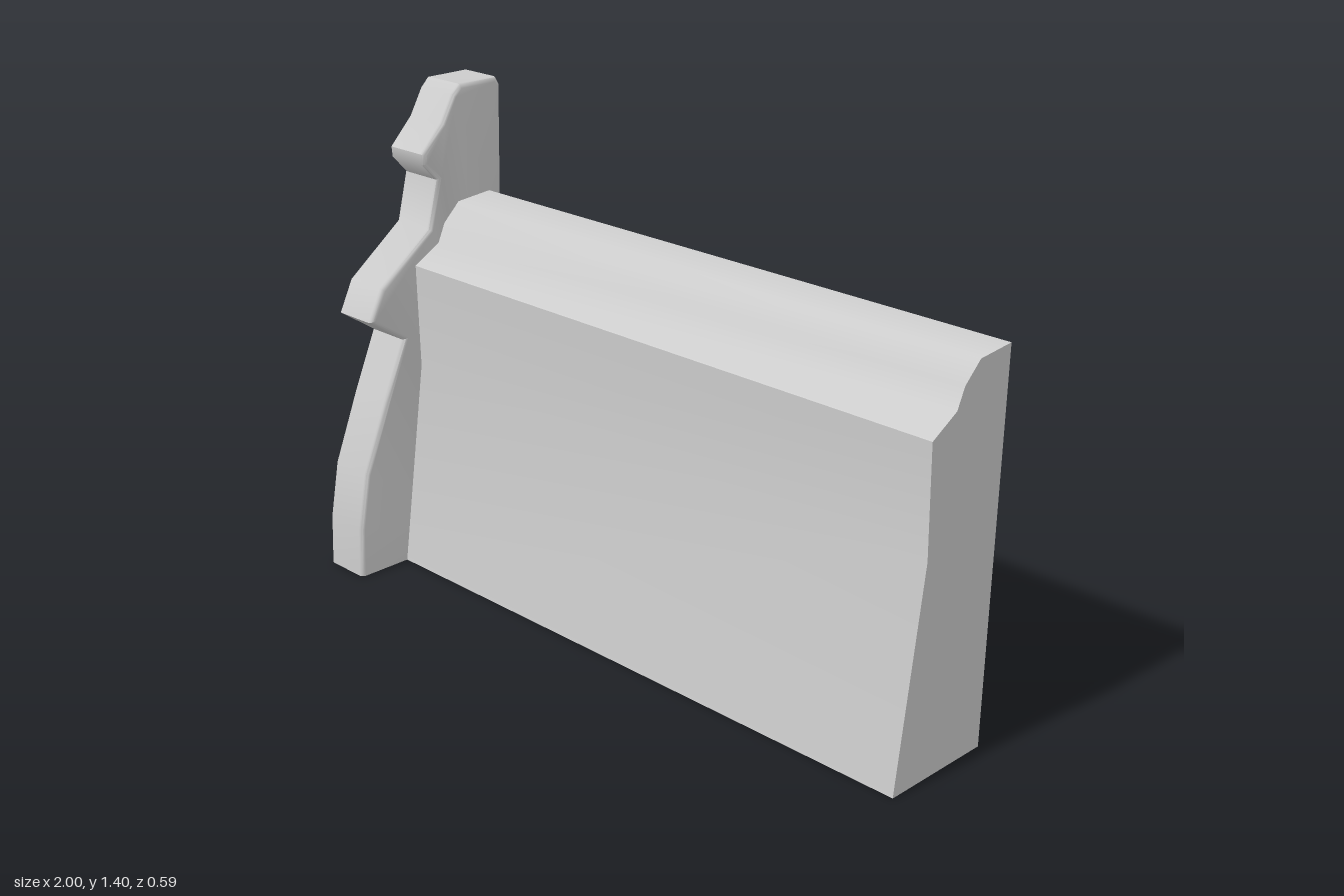
import * as THREE from 'three';
import { toCreasedNormals } from 'three/addons/utils/BufferGeometryUtils.js';

const material = new THREE.MeshStandardMaterial({ color: 0xcccccc });

// Side profiles as [z, y]
const endProfile = [
  [0.293, 0], [0.287, 0.15], [0.257, 0.315], [0.175, 0.52], [0.1, 0.692],
  [0.215, 0.77], [0.17, 0.862], [-0.01, 1.0], [-0.045, 1.14], [0.002, 1.19],
  [0.005, 1.222], [-0.07, 1.3], [-0.113, 1.375], [-0.14, 1.402], [-0.277, 1.402],
  [-0.29, 1.38], [-0.284, 1.0], [-0.292, 0.83], [-0.282, 0.7], [-0.277, 0],
];
const wallProfile = [
  [0.125, 0], [0.04, 0.6], [0.047, 0.905], [-0.04, 0.955], [-0.065, 1.01],
  [-0.12, 1.063], [-0.237, 1.073], [-0.216, 0],
];

// Extrudes a side profile from x0 to x1, with optional rounded rims
function sideExtrusion(name, profile, x0, x1, bevel, crease) {
  const shape = new THREE.Shape(profile.map(([z, y]) => new THREE.Vector2(-z, y)));
  const geometry = new THREE.ExtrudeGeometry(shape, {
    depth: x1 - x0 - 2 * bevel,
    bevelEnabled: bevel > 0,
    bevelSize: bevel,
    bevelThickness: bevel,
    bevelOffset: -bevel,
    bevelSegments: 3,
  });
  geometry.rotateY(Math.PI / 2).translate(x0 + bevel, 0, 0);

  // Keep the foot flat on the ground
  const p = geometry.attributes.position;
  for (let i = 0; i < p.count; i++) if (p.getY(i) < bevel + 0.005) p.setY(i, 0);

  const mesh = new THREE.Mesh(toCreasedNormals(geometry, crease), material);
  mesh.name = name;
  return mesh;
}

export function createModel() {
  const model = new THREE.Group();
  model.name = 'wallWithEndPier';
  model.add(
    sideExtrusion('endPier', endProfile, -1, -0.85, 0.013, 0.75),
    sideExtrusion('mouldedWall', wallProfile, -0.88, 1, 0, 0.9),
  );
  return model;
}
